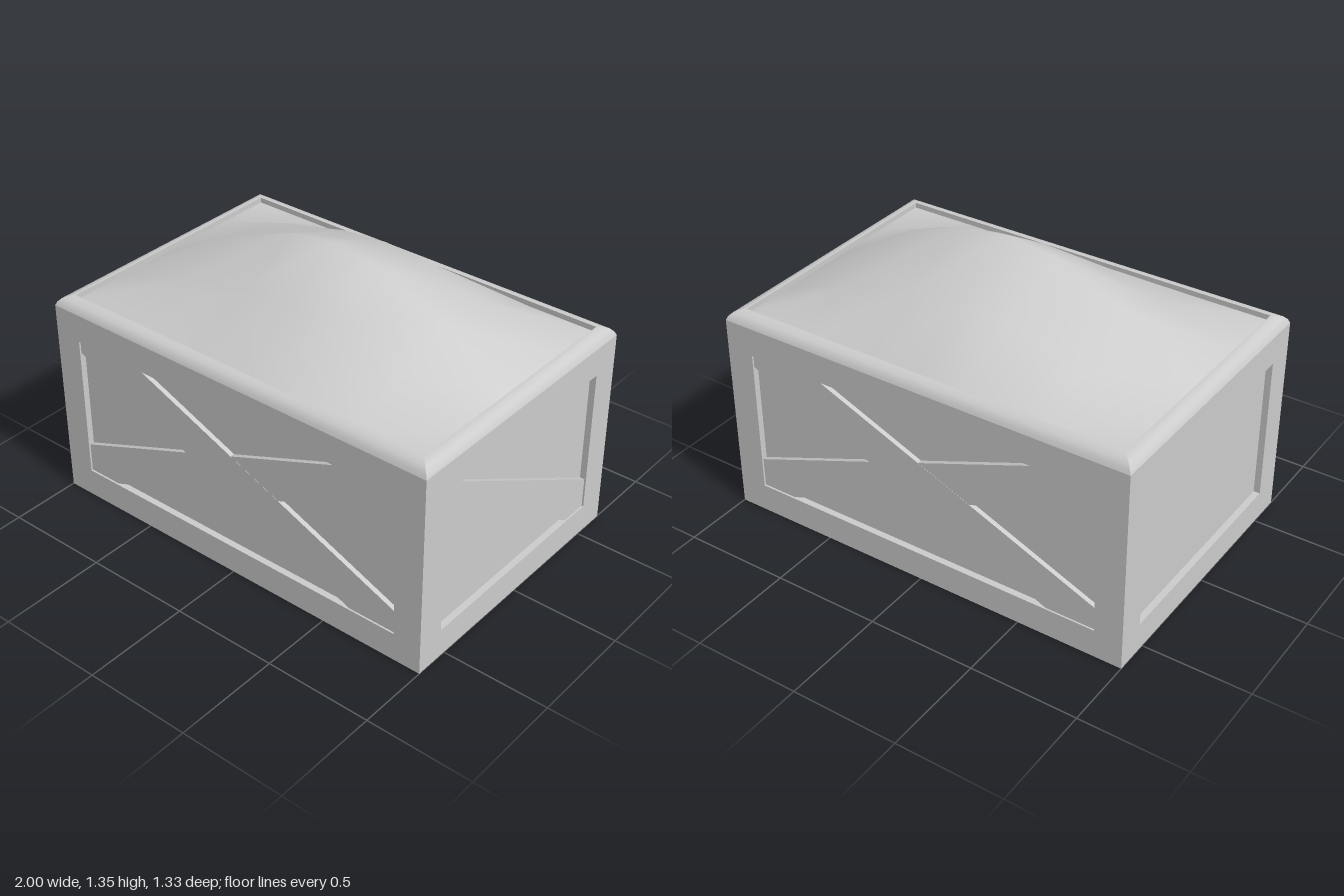
import * as THREE from 'three';
import { toCreasedNormals } from 'three/addons/utils/BufferGeometryUtils.js';

const material = new THREE.MeshStandardMaterial({ color: 0xcccccc, side: THREE.DoubleSide });
const PANEL_BOTTOM = 0.135, PANEL_TOP = 0.82, WALL_TOP = 0.955;
const RECESS = 0.03, PLANK_INSET = 0.008, PLANK_DEPTH = 0.09;

// Rim cross-section: [inset from the outer face, height]
const RIM = [[0, WALL_TOP], [0.008, 0.973], [0.024, 0.99], [0.05, 1], [0.065, 1], [0.065, 0.965]];

function add(parent, name, geometry) {
  const mesh = new THREE.Mesh(geometry, material);
  mesh.name = name;
  parent.add(mesh);
  return mesh;
}

// Box with one of its six faces left out (4 = front, 5 = back)
function openBox(w, h, d, missing) {
  const g = new THREE.BoxGeometry(w, h, d);
  const index = Array.from(g.index.array).filter((_, i) => Math.floor(i / 6) !== missing);
  g.setIndex(index);
  g.clearGroups();
  return g;
}

// Outer face of a wall with the panel opening cut out
function frameGeometry(half, panelHalf) {
  const rect = (w, y0, y1) => [[-w, y0], [w, y0], [w, y1], [-w, y1]].map(p => new THREE.Vector2(...p));
  const shape = new THREE.Shape(rect(half, 0, WALL_TOP));
  shape.holes.push(new THREE.Path(rect(panelHalf, PANEL_BOTTOM, PANEL_TOP).reverse()));
  return new THREE.ShapeGeometry(shape);
}

// One mitred side of the rounded rim
function rimGeometry(half) {
  const pos = [];
  for (let i = 0; i < RIM.length - 1; i++) {
    const [i0, y0] = RIM[i], [i1, y1] = RIM[i + 1];
    const a = [i0 - half, y0, -i0], b = [half - i0, y0, -i0];
    const c = [half - i1, y1, -i1], d = [i1 - half, y1, -i1];
    pos.push(...a, ...b, ...c, ...a, ...c, ...d);
  }
  const g = new THREE.BufferGeometry();
  g.setAttribute('position', new THREE.Float32BufferAttribute(pos, 3));
  return toCreasedNormals(g, 0.9);
}

// A wall with recessed panel, diagonal planks and its part of the rim
function wall(name, half, distance, panelHalf, angle, planks) {
  const pivot = new THREE.Group();
  pivot.name = name;
  pivot.rotation.y = angle;
  const face = new THREE.Group();
  face.position.z = distance;
  pivot.add(face);

  add(face, 'frame', frameGeometry(half, panelHalf));
  add(face, 'rim', rimGeometry(half));
  const h = PANEL_TOP - PANEL_BOTTOM;
  add(face, 'recessedPanel', openBox(panelHalf * 2, h, RECESS, 4))
    .position.set(0, PANEL_BOTTOM + h / 2, -RECESS / 2);

  // Hollow planks, open at the back, with their ends tucked behind the frame
  planks.forEach(({ slope, height, reach }, i) => {
    const tilt = Math.atan(slope);
    const plank = add(face, 'diagonalPlank',
      openBox(2 * reach / Math.cos(tilt), 0.19, PLANK_DEPTH, 5));
    plank.position.set(0, height, -PLANK_INSET - 0.001 * i - PLANK_DEPTH / 2);
    plank.rotation.z = tilt;
  });
  return pivot;
}

// Heaped contents: a coarse grid raised to a peak near the middle
function heapGeometry() {
  const xs = [-0.935, -0.56, -0.2, 0.02, 0.26, 0.6, 0.935];
  const hx = [0, 0.53, 0.91, 1, 0.92, 0.55, 0];
  const zs = [-0.6, -0.34, 0.03, 0.31, 0.6];
  const hz = [0, 0.58, 1, 0.55, 0];
  const g = new THREE.PlaneGeometry(1, 1, xs.length - 1, zs.length - 1).rotateX(-Math.PI / 2);
  const p = g.attributes.position;
  for (let i = 0; i < p.count; i++) {
    const c = i % xs.length, r = Math.floor(i / xs.length);
    p.setXYZ(i, xs[c], 0.975 + 0.375 * Math.pow(hx[c] * hz[r], 0.97), zs[r]);
  }
  g.computeVertexNormals();
  return g;
}

export function createModel() {
  const model = new THREE.Group();
  model.name = 'filledCrate';
  const cross = [
    { slope: -0.417, height: 0.502, reach: 0.92 },
    { slope: 0.38, height: 0.502, reach: 0.92 },
  ];
  const brace = [{ slope: -0.558, height: 0.465, reach: 0.6 }];
  model.add(
    wall('frontWall', 1, 0.665, 0.867, 0, cross),
    wall('backWall', 1, 0.665, 0.867, Math.PI, cross),
    wall('leftWall', 0.665, 1, 0.528, Math.PI / 2, brace),
    wall('rightWall', 0.665, 1, 0.528, -Math.PI / 2, []),
  );
  add(model, 'heapedContents', heapGeometry());
  return model;
}
